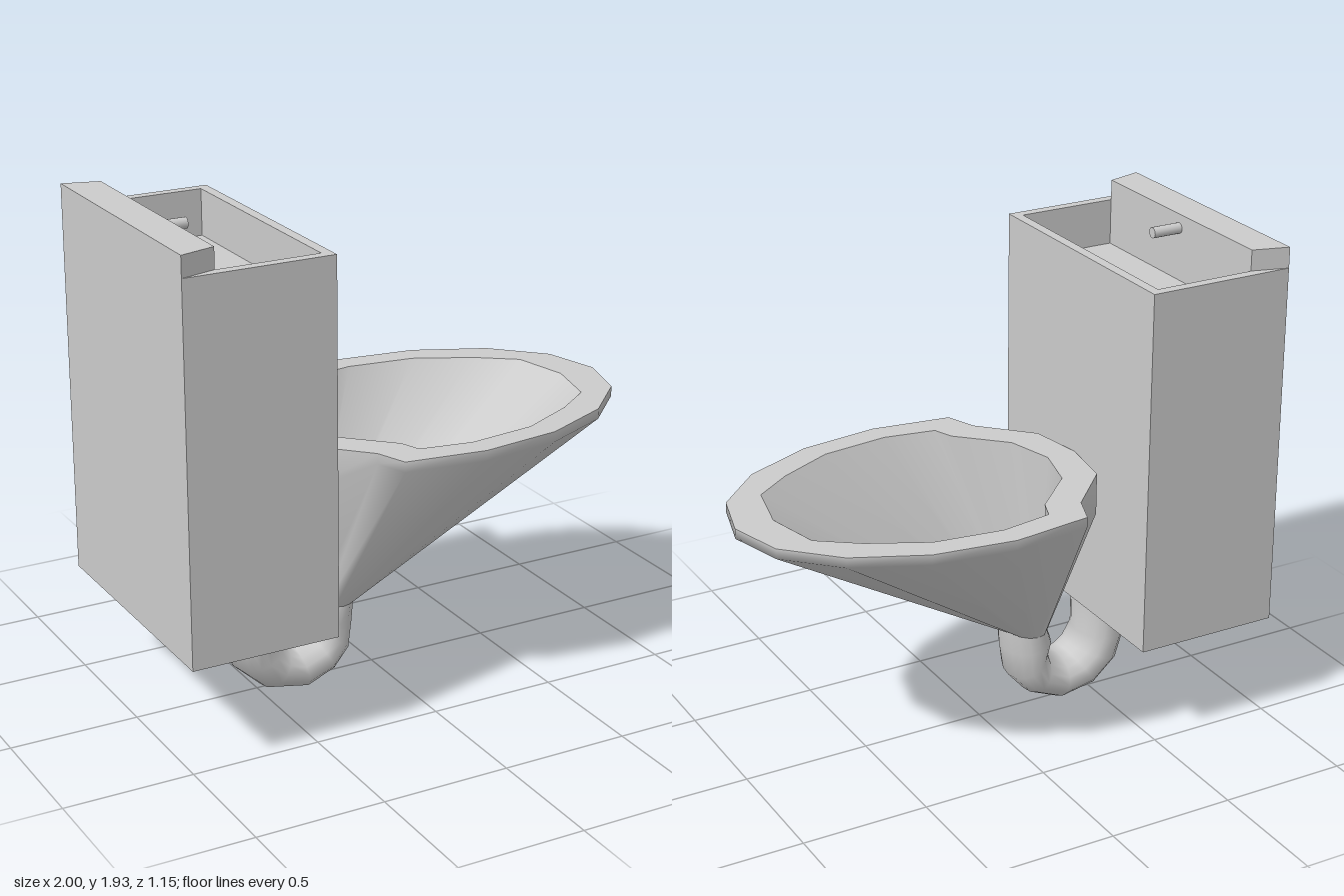
import * as THREE from 'three';

const SIDES = 16;
const grey = new THREE.MeshStandardMaterial({ color: 0xcccccc });
const greyDouble = new THREE.MeshStandardMaterial({ color: 0xcccccc, side: THREE.DoubleSide });

// Smooth skin over a list of closed rings with equal point counts
function loft(rings) {
  const index = [];
  for (let r = 0; r < rings.length - 1; r++) {
    for (let i = 0; i < SIDES; i++) {
      const a = r * SIDES + i, b = r * SIDES + (i + 1) % SIDES;
      index.push(a, a + SIDES, b, b, a + SIDES, b + SIDES);
    }
  }
  const geo = new THREE.BufferGeometry();
  geo.setAttribute('position', new THREE.Float32BufferAttribute(rings.flat(2), 3));
  geo.setIndex(index);
  geo.computeVertexNormals();
  return geo;
}

// Half an outline (x, z) mirrored into a full ring at the given height
function rimRing(half, heightAt) {
  return Array.from({ length: SIDES }, (_, i) => {
    const k = i <= 8 ? i : SIDES - i;
    return [half[k][0], heightAt(k), i <= 8 ? half[k][1] : -half[k][1]];
  });
}

// Elliptical pipe section spanning an outer and an inner bend point
function pipeRing([ox, oy, ix, iy]) {
  return Array.from({ length: SIDES }, (_, i) => {
    const t = i / SIDES * Math.PI * 2, w = (1 + Math.cos(t)) / 2;
    return [ix + (ox - ix) * w, iy + (oy - iy) * w, 0.025 + 0.132 * Math.sin(t)];
  });
}

function polygon(points) {
  return new THREE.Shape(points.map(([x, z]) => new THREE.Vector2(x, z)));
}

// Plan shape extruded upwards from y0 to y1
function slab(shape, y0, y1) {
  return new THREE.ExtrudeGeometry(shape, { depth: y1 - y0, bevelEnabled: false })
    .rotateX(-Math.PI / 2).translate(0, y0, 0);
}

export function createModel() {
  const model = new THREE.Group();
  const add = (name, geo, mat = grey) => {
    const mesh = new THREE.Mesh(geo, mat);
    mesh.name = name;
    model.add(mesh);
    return mesh;
  };

  // Cistern: solid lower block with a shallow open basin above
  const outline = [[-1, -0.52], [-0.42, -0.52], [-0.42, 0.52], [-1, 0.52]];
  const walls = polygon(outline);
  walls.holes.push(polygon([[-0.86, -0.48], [-0.86, 0.48], [-0.46, 0.48], [-0.46, -0.48]]));
  add('tankBody', slab(polygon(outline), 0.415, 1.67));
  add('tankWalls', slab(walls, 1.67, 1.85));

  // Raised back ledge with slanted ends
  add('backLedge', slab(polygon([[-1, -0.52], [-0.86, -0.48], [-0.86, 0.48], [-1, 0.52]]), 1.85, 1.93));

  // Flush lever
  const lever = add('flushLever', new THREE.CylinderGeometry(0.021, 0.021, 0.14, 16));
  lever.rotation.z = Math.PI / 2;
  lever.position.set(-0.81, 1.875, -0.005);

  // U-bend, each section as outer x, y and inner x, y
  const bend = [
    [-0.645, 0.43, -0.455, 0.43], [-0.645, 0.25, -0.455, 0.25], [-0.61, 0.13, -0.42, 0.2],
    [-0.5, 0.03, -0.395, 0.185], [-0.335, 0, -0.37, 0.17], [-0.215, 0.05, -0.3, 0.2],
    [-0.145, 0.13, -0.29, 0.25], [-0.125, 0.25, -0.312, 0.285], [-0.12, 0.34, -0.29, 0.34],
  ].map(pipeRing);
  add('drainPipe', loft(bend), greyDouble);

  // Bowl: outer wall and broad rim, then the inner wall down to the drain
  const outer = [[1, 0], [0.94, 0.22], [0.755, 0.405], [0.48, 0.53], [0.16, 0.573],
    [-0.155, 0.53], [-0.2, 0.41], [-0.385, 0.22], [-0.42, 0]];
  const inner = [[0.85, 0], [0.8, 0.22], [0.65, 0.33], [0.43, 0.44], [0.16, 0.475],
    [-0.045, 0.44], [-0.075, 0.36], [-0.25, 0.19], [-0.3, 0]];
  const drain = bend[bend.length - 1];
  const lip = rimRing(inner, () => 1.045);
  const lowerEdge = rimRing(outer, k => (k === 8 ? 0.93 : k === 7 ? 0.88 : 1.005));
  add('bowlOuter', loft([drain, lowerEdge, rimRing(outer, () => 1.045)]), greyDouble);
  add('bowlRim', loft([rimRing(outer, () => 1.045), lip]), greyDouble);
  add('bowlInner', loft([lip, drain]), greyDouble);

  return model;
}
